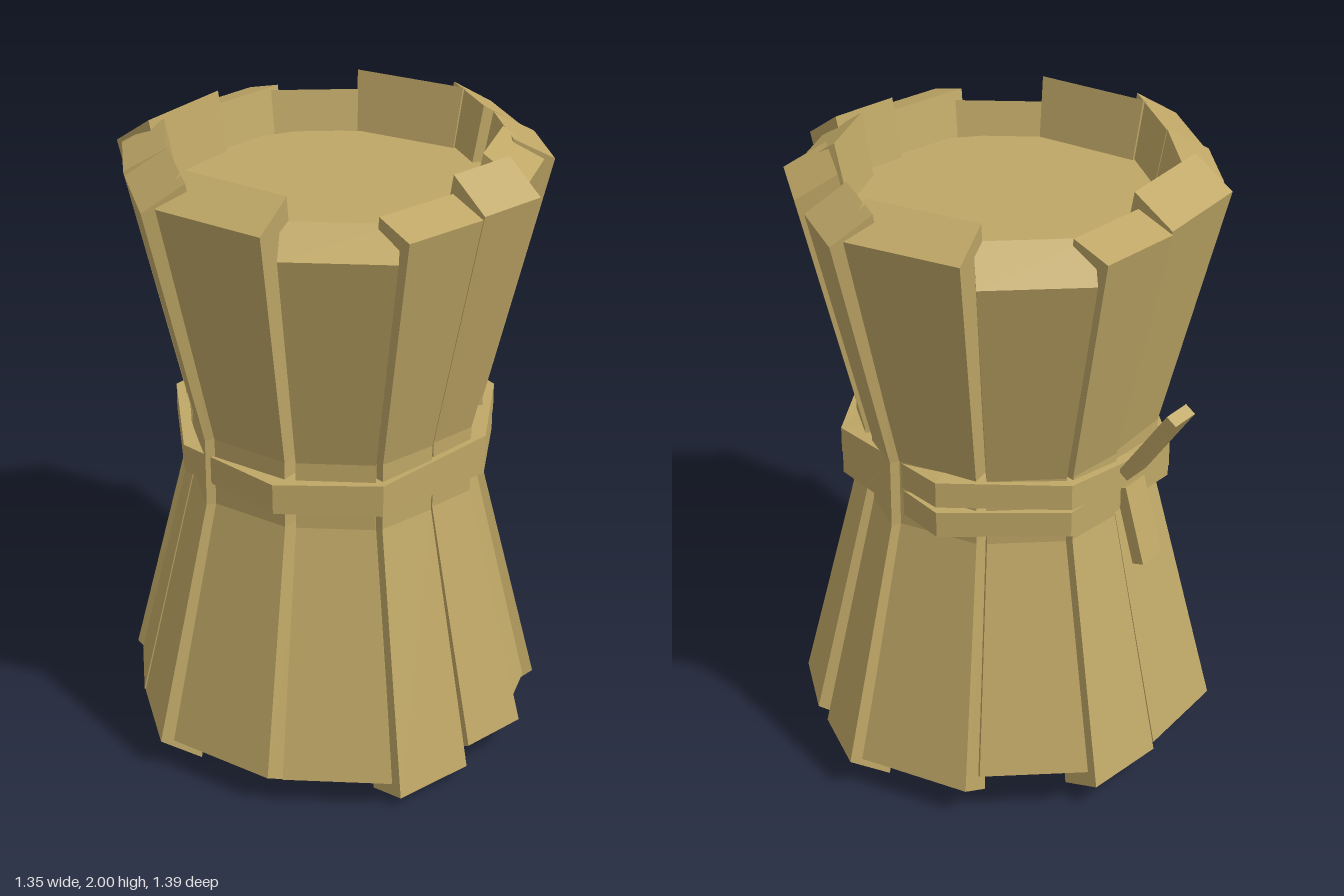
import * as THREE from 'three';

const straw = new THREE.MeshStandardMaterial({ color: 0xbfa766, flatShading: true });

// Skin four-cornered sections (clockwise seen from ahead) into a bar or a closed ring
function loft(sections, closed = false) {
  const pos = [];
  const quad = (a, b, c, d) => [a, b, c, a, c, d].forEach((p) => pos.push(...p));
  const n = sections.length;
  for (let s = 0; s < (closed ? n : n - 1); s++) {
    const lo = sections[s], hi = sections[(s + 1) % n];
    for (let i = 0; i < 4; i++) {
      const j = (i + 1) % 4;
      quad(lo[j], lo[i], hi[i], hi[j]);
    }
  }
  if (!closed) {
    quad(...sections[0]);
    quad(...[...sections[n - 1]].reverse());
  }
  const g = new THREE.BufferGeometry();
  g.setAttribute('position', new THREE.Float32BufferAttribute(pos, 3));
  g.computeVertexNormals();
  return g;
}

// Outer end corners (x0, z0, x1, z1), then outer and inner heights of the top and bottom ends
const STALKS = [
  [-0.24, -0.60, 0.015, -0.70, 1.90, 1.94, 0.09, 0.04],
  [0.045, -0.70, 0.36, -0.58, 1.84, 1.93, 0.16, 0.06],
  [0.40, -0.56, 0.63, -0.27, 1.91, 1.99, 0.10, 0.02],
  [0.67, -0.27, 0.655, -0.03, 1.90, 1.98, 0.10, 0.02],
  [0.655, 0.05, 0.60, 0.29, 1.91, 1.98, 0.10, 0.02],
  [0.57, 0.28, 0.41, 0.465, 1.91, 2.00, 0.09, 0.00],
  [0.425, 0.53, 0.21, 0.60, 1.90, 1.99, 0.10, 0.02],
  [0.195, 0.62, -0.07, 0.695, 1.90, 1.94, 0.04, 0.01],
  [-0.10, 0.69, -0.40, 0.535, 1.84, 1.91, 0.10, 0.02],
  [-0.44, 0.51, -0.635, 0.20, 1.91, 1.99, 0.10, 0.02],
  [-0.675, 0.19, -0.62, -0.11, 1.90, 1.98, 0.10, 0.02],
  [-0.62, -0.12, -0.54, -0.36, 1.91, 1.98, 0.10, 0.02],
  [-0.54, -0.41, -0.25, -0.58, 1.90, 1.99, 0.10, 0.02],
];

function stalkGeometry([x0, z0, x1, z1, topOut, topIn, botOut, botIn]) {
  // Inward direction square to the outer face
  const len = Math.hypot(x1 - x0, z1 - z0);
  const nx = -(z1 - z0) / len, nz = (x1 - x0) / len;
  const section = (scale, depth, yOut, yIn) => {
    const ix = nx * depth, iz = nz * depth;
    return [
      [x0 * scale, yOut, z0 * scale],
      [x1 * scale, yOut, z1 * scale],
      [x1 * scale + ix, yIn, z1 * scale + iz],
      [x0 * scale + ix, yIn, z0 * scale + iz],
    ];
  };
  return loft([
    section(1, 0.13, botOut, botIn),
    section(0.71, 0.11, 0.89, 0.88),
    section(0.71, 0.11, 1.11, 1.12),
    section(1, 0.13, topOut, topIn),
  ]);
}

// Corners of the tie (x, z) with the height of the upper and lower loop
const TIE = [
  [0.03, -0.53, 1.06, 0.965],
  [0.40, -0.36, 1.07, 0.965],
  [0.52, 0.10, 1.05, 0.975],
  [0.35, 0.38, 1.03, 0.985],
  [-0.06, 0.52, 1.01, 0.99],
  [-0.36, 0.38, 1.01, 0.995],
  [-0.51, 0.03, 1.01, 1.005],
  [-0.39, -0.36, 1.02, 0.985],
];

export function createModel() {
  const model = new THREE.Group();
  model.name = 'strawBundle';
  const add = (name, geometry, parent = model) => {
    const mesh = new THREE.Mesh(geometry, straw);
    mesh.name = name;
    parent.add(mesh);
    return mesh;
  };

  // Solid core, recessed inside the stalk ends
  const profile = [[0, 0.12], [0.53, 0.12], [0.41, 0.89], [0.41, 1.11], [0.53, 1.8], [0, 1.8]];
  add('core', new THREE.LatheGeometry(profile.map(([r, y]) => new THREE.Vector2(r, y)), 13));

  // Ring of pinched stalks
  const stalks = new THREE.Group();
  stalks.name = 'stalks';
  model.add(stalks);
  STALKS.forEach((s) => add('stalk', stalkGeometry(s), stalks));

  // Two loops of the tie, crossing at the front left and parting at the back right
  [['upperTie', 2, 1], ['lowerTie', 3, 0.995]].forEach(([name, col, grow]) => {
    const h = 0.042, inner = 0.84;
    add(name, loft(TIE.map((p) => {
      const x = p[0] * grow, z = p[1] * grow, y = p[col];
      return [
        [x, y + h, z], [x, y - h, z],
        [x * inner, y - h, z * inner], [x * inner, y + h, z * inner],
      ];
    }), true));
  });

  // Loose ends of the tie at the back
  [
    ['upperTieEnd', 0.30, [-0.26, 1.17, -0.51], 0.6],
    ['lowerTieEnd', 0.26, [-0.24, 0.87, -0.45], -0.28],
  ].forEach(([name, length, at, tilt]) => {
    const end = add(name, new THREE.BoxGeometry(0.1, length, 0.04));
    end.position.set(...at);
    end.rotation.set(tilt, Math.atan2(at[0], at[2]), 0, 'YXZ');
  });

  return model;
}
